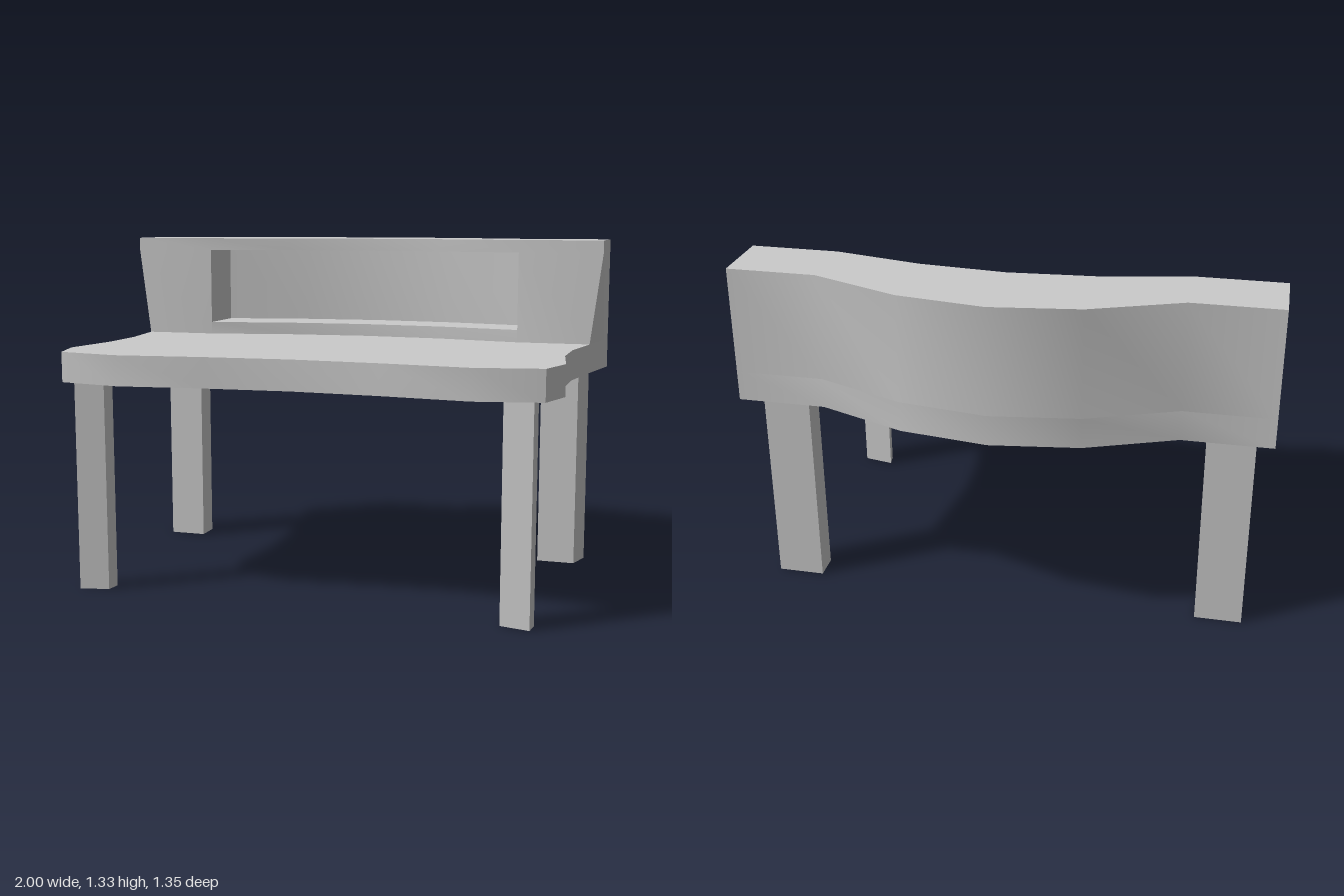
import * as THREE from 'three';
import { mergeGeometries, toCreasedNormals } from 'three/addons/utils/BufferGeometryUtils.js';

const material = new THREE.MeshStandardMaterial({ color: 0xcccccc });

// Vertical prism over a plan outline of [x, z] points.
function prism(plan, y0, y1) {
  const shape = new THREE.Shape(plan.map(([x, z]) => new THREE.Vector2(x, -z)));
  return new THREE.ExtrudeGeometry(shape, { depth: y1 - y0, bevelEnabled: false })
    .rotateX(-Math.PI / 2)
    .translate(0, y0, 0);
}

// Skin between closed cross-sections of [x, y, z] points, ordered by rising x.
function loft(sections, capped) {
  const pos = [];
  const n = sections[0].length;
  const tri = (a, b, c) => pos.push(...a, ...b, ...c);
  for (let s = 0; s < sections.length - 1; s++) {
    const p = sections[s], q = sections[s + 1];
    for (let i = 0; i < n; i++) {
      const j = (i + 1) % n;
      tri(p[i], p[j], q[j]);
      tri(p[i], q[j], q[i]);
    }
  }
  if (capped) {
    const first = sections[0], last = sections[sections.length - 1];
    for (let i = 1; i < n - 1; i++) {
      tri(first[0], first[i + 1], first[i]);
      tri(last[0], last[i], last[i + 1]);
    }
  }
  const g = new THREE.BufferGeometry();
  g.setAttribute('position', new THREE.Float32BufferAttribute(pos, 3));
  return g;
}

const mirror = (half) => [...half, ...half.filter(([x]) => x > 0).reverse().map(([x, z]) => [-x, z])];

// Main heights
const UNDER = 0.805, DESK = 0.92, NICHE_LOW = 0.97, NICHE_HIGH = 1.28, TOP = 1.33;
const NICHE_DEPTH = 0.22;

// Columns of the curved hutch: x, front z, back z
const columns = [
  [-0.665, -0.245, -0.5], [-0.33, -0.312, -0.63], [0, -0.337, -0.675],
  [0.33, -0.312, -0.63], [0.665, -0.245, -0.5],
];

function hutchGeometry() {
  // Middle: C-shaped section around the open niche
  const middle = loft(columns.map(([x, f, b]) => [
    [x, DESK, b], [x, TOP, b], [x, TOP, f], [x, NICHE_HIGH, f],
    [x, NICHE_HIGH, f - NICHE_DEPTH], [x, NICHE_LOW, f - NICHE_DEPTH],
    [x, NICHE_LOW, f], [x, DESK, f],
  ]), false);

  // Solid ends, whose front corner tapers in towards the desk
  const end = (side) => {
    const section = (x, xLow) => [
      [x, DESK, -0.5], [x, TOP, -0.5], [x, TOP, -0.245], [x, NICHE_HIGH, -0.245], [xLow, DESK, -0.245],
    ].map(([px, y, z]) => [px * side, y, z]);
    const pair = [section(0.665, 0.665), section(1, 0.955)];
    return loft(side > 0 ? pair : pair.reverse(), true);
  };
  return toCreasedNormals(mergeGeometries([middle, end(1), end(-1)]), 0.6);
}

export function createModel() {
  const group = new THREE.Group();
  const add = (name, geometry) => {
    const mesh = new THREE.Mesh(geometry, material);
    mesh.name = name;
    group.add(mesh);
  };

  // Desk top with wavy front, waisted sides and bowed back
  const outline = mirror([
    [0, 0.613], [0.33, 0.632], [0.665, 0.67], [0.91, 0.623], [0.955, 0.465],
    [0.918, 0.21], [0.918, 0], [0.955, -0.245], [1, -0.5], [0.665, -0.5],
    [0.33, -0.63], [0, -0.675],
  ]);
  add('deskTop', toCreasedNormals(prism(outline, UNDER, DESK), 0.5));

  add('hutch', hutchGeometry());

  // Four legs: slim turned ones in front, wider splayed ones behind
  const frontLeg = [[0.76, 0.58], [0.87, 0.605], [0.877, 0.55], [0.752, 0.525]];
  const backLeg = [[0.755, -0.325], [0.905, -0.325], [0.935, -0.425], [0.755, -0.425]];
  for (const [side, label] of [[1, 'Left'], [-1, 'Right']]) {
    const place = (plan) => prism(plan.map(([x, z]) => [x * side, z]), 0, UNDER);
    add('frontLeg' + label, place(frontLeg));
    add('backLeg' + label, place(backLeg));
  }
  return group;
}
